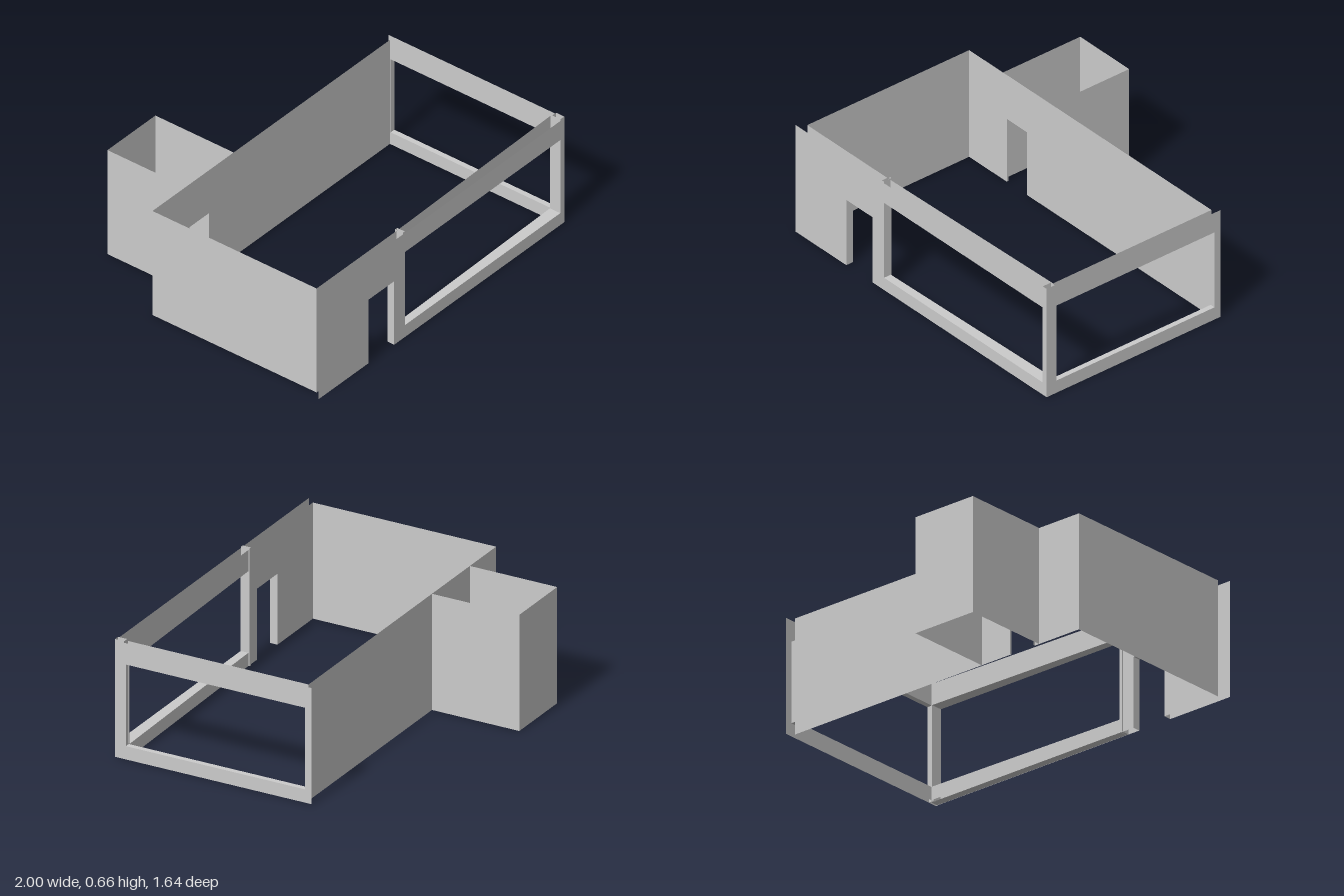
import * as THREE from 'three';

const H = 0.655; // wall height
const mat = new THREE.MeshStandardMaterial({ color: 0xcccccc, side: THREE.DoubleSide, flatShading: true });

export function createModel() {
  const model = new THREE.Group();

  const add = (name, geo) => {
    const mesh = new THREE.Mesh(geo, mat);
    mesh.name = name;
    model.add(mesh);
    return mesh;
  };

  // Upright sheet between two floor points [x, z], with an optional opening:
  // {u0, u1} measured along the sheet, {y0, y1} in height. y0 = 0 makes a doorway.
  function panel(name, a, b, opening, h = H) {
    const dx = b[0] - a[0], dz = b[1] - a[1], len = Math.hypot(dx, dz);
    const s = new THREE.Shape();
    s.moveTo(0, 0);
    if (opening && opening.y0 === 0) {
      const { u0, u1, y1 } = opening;
      s.lineTo(u0, 0).lineTo(u0, y1).lineTo(u1, y1).lineTo(u1, 0);
    }
    s.lineTo(len, 0).lineTo(len, h).lineTo(0, h).closePath();
    if (opening && opening.y0 > 0) {
      const { u0, u1, y0, y1 } = opening;
      const hole = new THREE.Path();
      hole.moveTo(u0, y0).lineTo(u0, y1).lineTo(u1, y1).lineTo(u1, y0).closePath();
      s.holes.push(hole);
    }
    const mesh = add(name, new THREE.ShapeGeometry(s));
    mesh.position.set(a[0], 0, a[1]);
    mesh.rotation.y = Math.atan2(-dz, dx);
  }

  // Lining of an opening: joins the outer edge (p to q) to the inner edge (r to s)
  function lining(name, [p, q, r, s], y0, y1) {
    const quads = [
      [[p, y1], [q, y1], [s, y1], [r, y1]],
      [[p, y0], [p, y1], [r, y1], [r, y0]],
      [[q, y0], [q, y1], [s, y1], [s, y0]],
    ];
    if (y0 > 0) quads.push([[p, y0], [r, y0], [s, y0], [q, y0]]);
    const pos = [];
    for (const c of quads)
      for (const i of [0, 1, 2, 0, 2, 3]) pos.push(c[i][0][0], c[i][1], c[i][0][1]);
    const geo = new THREE.BufferGeometry();
    geo.setAttribute('position', new THREE.Float32BufferAttribute(pos, 3));
    geo.computeVertexNormals();
    add(name, geo);
  }

  const front = 0.82, inner = 0.775, back = -0.305;
  const win = { y0: 0.075, y1: 0.535 };

  // Front wall: outer sheet in two lengths, one with the door and one with the window
  panel('frontDoorWallOuter', [-1, front], [-0.31, front], { u0: 0.405, u1: 0.615, y0: 0, y1: 0.4 });
  panel('frontWindowWallOuter', [-0.31, front], [1, front], { u0: 0.015, u1: 1.275, ...win });

  // Front wall: inner sheets, the window length leaning slightly into the room
  panel('frontDoorWallInner', [-0.96, inner], [-0.31, inner], { u0: 0.365, u1: 0.575, y0: 0, y1: 0.4 });
  panel('frontWindowWallInner', [-0.31, inner], [0.97, 0.752], { u0: 0.015, u1: 1.275, ...win });
  lining('frontDoorLining', [[-0.595, front], [-0.385, front], [-0.595, inner], [-0.385, inner]], 0, 0.4);
  lining('frontWindowLining', [[-0.295, front], [0.965, front], [-0.295, inner], [0.965, 0.752]], win.y0, win.y1);

  // Closing strip under the front window wall
  const strip = add('frontBaseStrip', new THREE.PlaneGeometry(1.3, front - inner));
  strip.rotation.x = -Math.PI / 2;
  strip.position.set(0.34, 0.001, (front + inner) / 2);

  // Side window wall: outer and inner sheets
  panel('sideWindowWallOuter', [1, front], [1, -0.34], { u0: 0.065, u1: 1.12, ...win });
  panel('sideWindowWallInner', [0.97, 0.76], [0.97, back], { u0: 0.005, u1: 1.06, ...win });
  lining('sideWindowLining', [[1, 0.755], [1, -0.3], [0.97, 0.755], [0.97, -0.3]], win.y0, win.y1);

  // Open-topped posts: one at the corner, one beside the window
  function post(name, x0, x1, z0, z1) {
    const c = [[x0, z0], [x1, z0], [x1, z1], [x0, z1]];
    c.forEach((p, i) => panel(name, p, c[(i + 1) % 4], null, 0.664));
  }
  post('cornerPost', 0.968, 0.999, 0.765, 0.819);
  post('windowPost', -0.312, -0.297, 0.768, 0.819);

  // Plain end wall and back wall with its doorway
  panel('endWall', [-0.96, inner], [-0.96, back]);
  panel('backWall', [-0.96, back], [0.97, back], { u0: 0.3, u1: 0.46, y0: 0, y1: 0.385 });
  lining('backDoorLining', [[-0.66, back], [-0.5, back], [-0.66, back - 0.01], [-0.5, back - 0.01]], 0, 0.385);

  // Small room behind the back doorway
  const room = [[-0.69, back], [-0.69, -0.82], [-0.3, -0.82], [-0.3, back]];
  for (let i = 0; i < 3; i++) panel('backRoomWall', room[i], room[i + 1]);

  return model;
}
